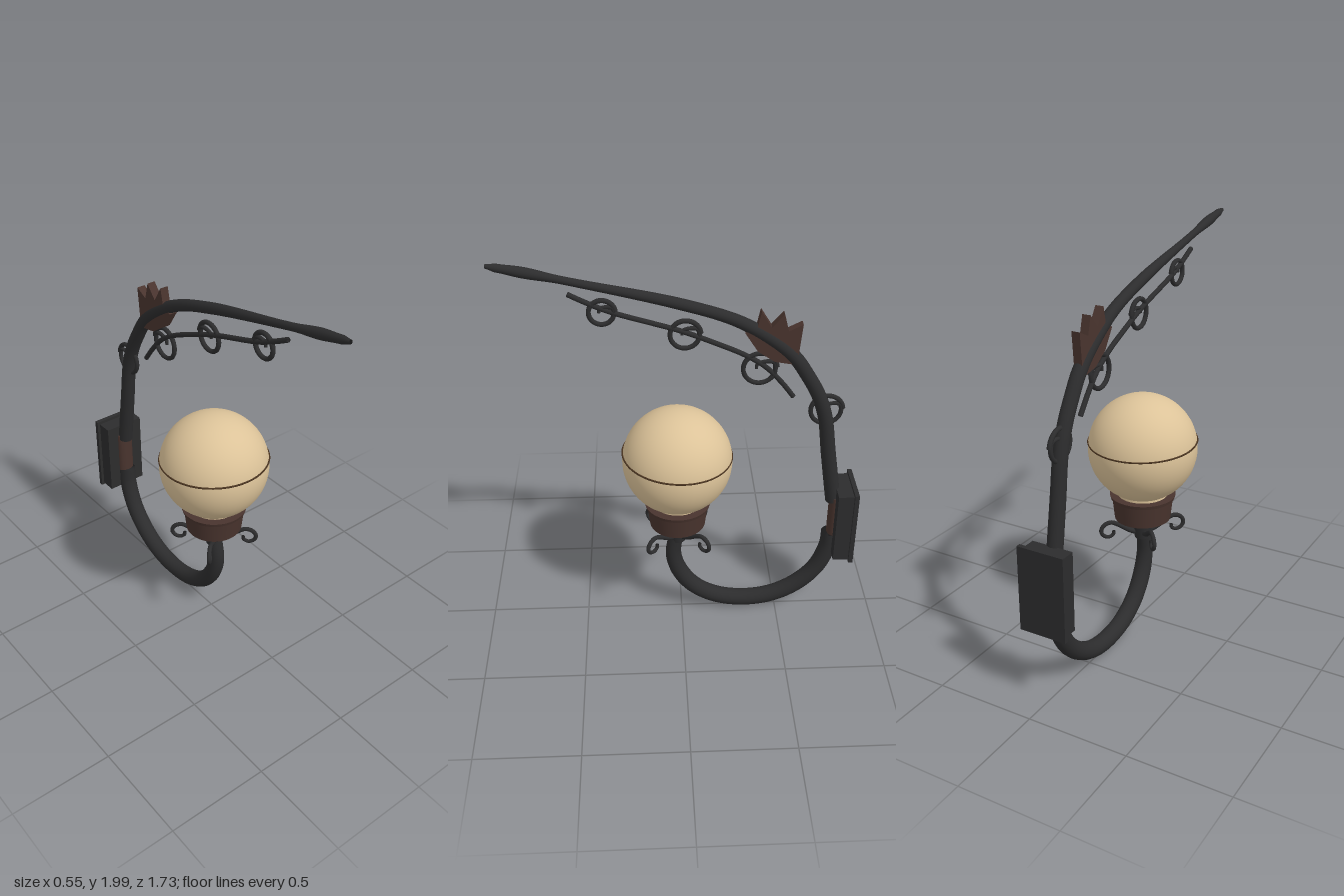
import * as THREE from 'three';

const material = (name, color) => {
  const m = new THREE.MeshStandardMaterial({ color });
  m.name = name;
  return m;
};

// Curve through [z, y] pairs in the plane x = 0
const sideCurve = (pts) =>
  new THREE.CatmullRomCurve3(pts.map(([z, y]) => new THREE.Vector3(0, y, z)), false, 'centripetal');

// Capped tube whose radius follows [t, radius] stops
function taperedTube(curve, stops, segments = 80, sides = 16) {
  const geo = new THREE.TubeGeometry(curve, segments, 1, sides, false);
  const pos = geo.attributes.position;
  const v = new THREE.Vector3();
  const radiusAt = (t) => {
    let i = 1;
    while (i < stops.length - 1 && t > stops[i][0]) i++;
    const [t0, r0] = stops[i - 1], [t1, r1] = stops[i];
    return r0 + (r1 - r0) * THREE.MathUtils.smoothstep(t, t0, t1);
  };
  for (let i = 0; i <= segments; i++) {
    // the end rings collapse onto their neighbours' centres to close the tube
    const end = i === 0 || i === segments;
    const t = THREE.MathUtils.clamp(i, 1, segments - 1) / segments;
    const centre = curve.getPointAt(t);
    const ringCentre = curve.getPointAt(i / segments);
    const r = end ? 0 : radiusAt((i - 1) / (segments - 2));
    for (let j = 0; j <= sides; j++) {
      const k = i * (sides + 1) + j;
      v.fromBufferAttribute(pos, k).sub(ringCentre).multiplyScalar(r).add(centre);
      pos.setXYZ(k, v.x, v.y, v.z);
    }
  }
  return geo;
}

export function createModel() {
  const model = new THREE.Group();
  model.name = 'wallLamp';
  const iron = material('black iron', 0x2c2c2d);
  const bronze = material('dark bronze', 0x49342e);
  const glass = material('cream glass', 0xdcc399);
  const seamBrown = material('seam brown', 0x4a3420);

  const add = (name, geo, mat, parent = model, x = 0, y = 0, z = 0) => {
    const mesh = new THREE.Mesh(geo, mat);
    mesh.name = name;
    mesh.position.set(x, y, z);
    parent.add(mesh);
    return mesh;
  };

  // Wall plate with a wider backing
  add('wallPlate', new THREE.BoxGeometry(0.21, 0.395, 0.08), iron, model, 0, 0.572, -0.815);
  add('wallBacking', new THREE.BoxGeometry(0.24, 0.42, 0.022), iron, model, 0, 0.575, -0.864);
  const boss = add('plateBoss', new THREE.CylinderGeometry(0.045, 0.045, 0.24, 16), bronze, model, 0, 0.59, -0.78);
  boss.scale.z = 0.7;

  // Lower arm sweeping from the plate round to the lamp
  const lower = sideCurve([
    [-0.768, 0.5], [-0.762, 0.39], [-0.71, 0.25], [-0.61, 0.14], [-0.48, 0.07], [-0.33, 0.048],
    [-0.18, 0.075], [-0.06, 0.15], [0.015, 0.26], [0.042, 0.37], [0.025, 0.5],
  ]);
  add('lowerArm', taperedTube(lower, [[0, 0.045], [0.8, 0.044], [1, 0.038]]), iron);

  // Upper arm ending in a spear tip
  const upper = sideCurve([
    [-0.77, 0.665], [-0.722, 0.97], [-0.69, 1.18], [-0.65, 1.3], [-0.59, 1.41], [-0.53, 1.5],
    [-0.445, 1.58], [-0.26, 1.695], [0, 1.785], [0.455, 1.895], [0.7, 1.952], [0.87, 1.987],
  ]);
  add('upperArm', taperedTube(upper, [
    [0, 0.038], [0.35, 0.034], [0.6, 0.027], [0.86, 0.018], [0.93, 0.025], [0.98, 0.019], [1, 0.009],
  ], 110), iron);

  // Slender rod below the upper arm
  const rod = sideCurve([
    [0.525, 1.855], [0.42, 1.8], [0.32, 1.755], [0, 1.652], [-0.15, 1.59],
    [-0.29, 1.525], [-0.39, 1.46], [-0.47, 1.375], [-0.545, 1.275],
  ]);
  add('scrollRod', taperedTube(rod, [[0, 0.012], [1, 0.012]], 48, 10), iron);

  // Scrolls: a full ring that hooks in towards its centre
  const scrolls = [[0.355, 1.75, 0.062], [-0.018, 1.632, 0.073], [-0.365, 1.45, 0.082], [-0.693, 1.217, 0.08]];
  for (const [z, y, r] of scrolls) {
    const pts = [];
    for (let i = 0; i <= 24; i++) {
      const a = (i / 24) * Math.PI * 2.15;
      const q = r * (1 - 0.12 * (i / 24));
      pts.push([z - q * Math.cos(a), y + q * Math.sin(a)]);
    }
    pts.push([z - r * 0.3, y + r * 0.45], [z + r * 0.15, y + r * 0.3], [z + r * 0.2, y - r * 0.1]);
    add('scroll', taperedTube(sideCurve(pts), [[0, 0.0115], [0.8, 0.011], [1, 0.008]], 64, 10), iron);
  }

  // Toothed leaf crest on the bend of the arm, drawn as [z, y]
  const crest = [
    [-0.29, 1.643], [-0.34, 1.655], [-0.36, 1.75], [-0.41, 1.67], [-0.465, 1.735], [-0.487, 1.65],
    [-0.552, 1.682], [-0.537, 1.51], [-0.51, 1.48], [-0.43, 1.495], [-0.35, 1.55],
  ];
  const crestShape = new THREE.Shape(crest.map(([z, y]) => new THREE.Vector2(-z, y)));
  const crestGeo = new THREE.ExtrudeGeometry(crestShape, { depth: 0.042, bevelEnabled: false });
  crestGeo.translate(0, 0, -0.021).rotateY(Math.PI / 2);
  add('leafCrest', crestGeo, bronze);

  // Lamp head
  const lamp = new THREE.Group();
  lamp.name = 'lampHead';
  lamp.position.z = 0.02;
  model.add(lamp);
  add('globe', new THREE.SphereGeometry(0.27, 48, 32), glass, lamp, 0, 0.952, 0);
  add('globeNeck', new THREE.CylinderGeometry(0.125, 0.125, 0.03, 40), glass, lamp, 0, 0.7, 0);
  const seam = add('globeSeam', new THREE.TorusGeometry(0.268, 0.0045, 6, 64), seamBrown, lamp, 0, 0.99, 0);
  seam.rotation.x = Math.PI / 2 - 0.045;
  add('collar', new THREE.CylinderGeometry(0.153, 0.14, 0.115, 40), bronze, lamp, 0, 0.63, 0);
  add('collarRim', new THREE.CylinderGeometry(0.165, 0.16, 0.018, 40), bronze, lamp, 0, 0.692, 0);
  add('stem', new THREE.CylinderGeometry(0.052, 0.04, 0.115, 20), iron, lamp, 0, 0.517, 0);

  // Four curled brackets set on the diagonals under the collar
  const curl = sideCurve([
    [0.02, 0.485], [0.07, 0.505], [0.125, 0.54], [0.165, 0.557], [0.2, 0.545], [0.216, 0.515],
    [0.202, 0.487], [0.175, 0.478], [0.152, 0.492], [0.152, 0.515],
  ]);
  const curlGeo = taperedTube(curl, [[0, 0.014], [0.5, 0.011], [1, 0.009]], 48, 10);
  for (let i = 0; i < 4; i++) {
    add('curledBracket', curlGeo, iron, lamp).rotation.y = Math.PI / 4 + (i * Math.PI) / 2;
  }
  return model;
}
